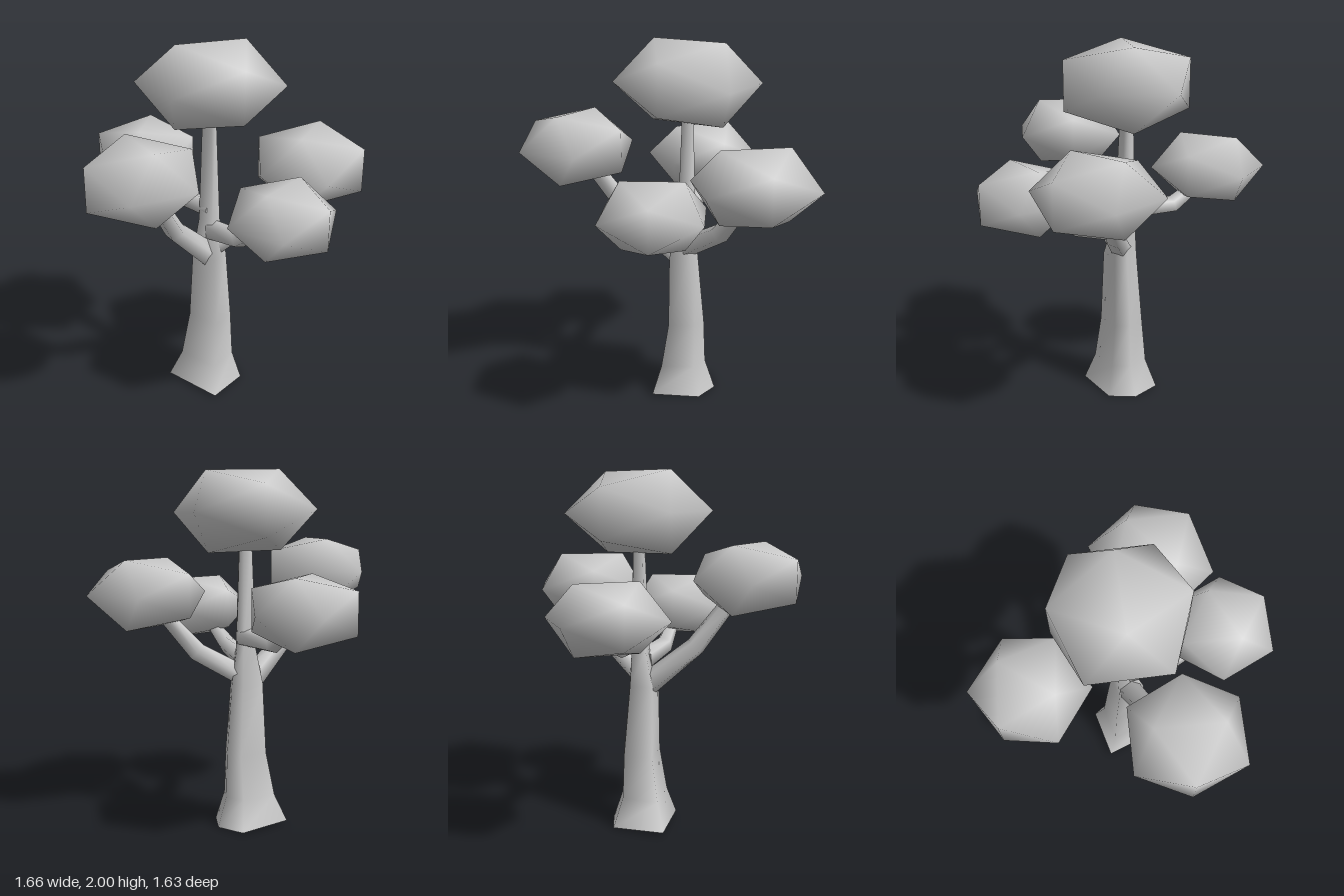
import * as THREE from 'three';
import { mergeVertices } from 'three/addons/utils/BufferGeometryUtils.js';

const stone = new THREE.MeshStandardMaterial({ color: 0xcccccc });
stone.name = 'pale grey';

// Smooth skin over rings of points, with flat end caps
function loft(rings) {
  const n = rings[0].length, pos = [], idx = [];
  for (const ring of rings) for (const p of ring) pos.push(p.x, p.y, p.z);
  for (let r = 0; r < rings.length - 1; r++)
    for (let i = 0; i < n; i++) {
      const a = r * n + i, b = r * n + (i + 1) % n;
      idx.push(a, b, b + n, a, b + n, a + n);
    }
  // caps use their own corners so their rims stay sharp
  for (const [ring, top] of [[rings[0], false], [rings[rings.length - 1], true]]) {
    const s = pos.length / 3;
    for (const p of ring) pos.push(p.x, p.y, p.z);
    for (let i = 1; i < n - 1; i++)
      top ? idx.push(s, s + i, s + i + 1) : idx.push(s, s + i + 1, s + i);
  }
  const g = new THREE.BufferGeometry();
  g.setAttribute('position', new THREE.Float32BufferAttribute(pos, 3));
  g.setIndex(idx);
  g.computeVertexNormals();
  return g;
}

// Uneven five-sided trunk, flared at the foot
function trunkGeometry() {
  const outline = [[-0.075, 0.2], [0.165, 0.09], [0.195, -0.06], [0.095, -0.2], [-0.195, -0.13]];
  const levels = [ // y, centre x, centre z, scale
    [0.01, -0.045, 0.04, 1], [0.17, -0.04, 0.04, 0.7], [0.42, -0.02, 0.035, 0.56],
    [0.82, -0.03, 0.04, 0.44], [1.02, -0.02, 0.015, 0.27], [1.62, -0.015, 0.003, 0.17],
  ];
  return loft(levels.map(([y, cx, cz, s], k) => outline.map(([x, z]) =>
    new THREE.Vector3(cx + x * s, k ? y : y - x * 0.05, cz + z * s))));
}

// Tapered five-sided limb through points [x, y, z, radius]
function limbGeometry(path) {
  const pts = path.map(p => new THREE.Vector3(p[0], p[1], p[2]));
  const rings = pts.map((p, i) => {
    const dir = pts[Math.min(i + 1, pts.length - 1)].clone().sub(pts[Math.max(i - 1, 0)]).normalize();
    const u = new THREE.Vector3(0, 1, 0).cross(dir).normalize();
    const v = dir.clone().cross(u);
    return Array.from({ length: 5 }, (_, k) => {
      const a = k / 5 * Math.PI * 2, r = path[i][3];
      return p.clone().addScaledVector(u, Math.cos(a) * r).addScaledVector(v, Math.sin(a) * r);
    });
  });
  return loft(rings);
}

// Flattened twenty-sided leaf clump with smooth normals
function clumpGeometry(radius, height) {
  let g = new THREE.IcosahedronGeometry(1, 0);
  g.deleteAttribute('normal');
  g.deleteAttribute('uv');
  g = mergeVertices(g, 1e-3);
  g.scale(radius, height, radius);
  g.computeVertexNormals();
  return g;
}

export function createModel() {
  const tree = new THREE.Group();
  tree.name = 'tree';
  const add = (name, geometry) => {
    const m = new THREE.Mesh(geometry, stone);
    m.name = name;
    tree.add(m);
    return m;
  };

  add('trunk', trunkGeometry());

  // Limbs
  const limbs = {
    rightBranch: [[-0.05, 0.82, 0.03, 0.07], [-0.3, 1.05, 0.13, 0.056], [-0.48, 1.33, 0.23, 0.045]],
    leftBranch: [[0.0, 0.87, 0.04, 0.06], [0.23, 1.0, 0.1, 0.055], [0.41, 1.22, 0.18, 0.04]],
    frontBranch: [[-0.02, 0.96, 0.04, 0.06], [0.0, 1.0, 0.28, 0.053], [0.05, 1.12, 0.47, 0.035]],
    backBranch: [[-0.01, 1.08, 0.02, 0.055], [-0.08, 1.08, -0.27, 0.05], [-0.13, 1.2, -0.45, 0.035]],
  };
  for (const [name, path] of Object.entries(limbs)) add(name, limbGeometry(path));

  // Leaf clumps: x, y, z, radius, height factor, turn in degrees
  const clumps = {
    topLeaves: [-0.01, 1.775, 0, 0.4, 0.258, 0],
    rightLeaves: [-0.55, 1.43, 0.26, 0.33, 0.2175, 88],
    leftLeaves: [0.48, 1.32, 0.23, 0.347, 0.226, 38],
    frontLeaves: [0.08, 1.205, 0.565, 0.303, 0.206, 24],
    backLeaves: [-0.16, 1.273, -0.49, 0.325, 0.2145, 53],
  };
  for (const [name, [x, y, z, r, h, turn]] of Object.entries(clumps)) {
    const m = add(name, clumpGeometry(r, h));
    m.position.set(x, y, z);
    m.rotation.y = THREE.MathUtils.degToRad(turn);
    if (name === 'topLeaves') m.rotation.z = -0.025;
  }
  return tree;
}
